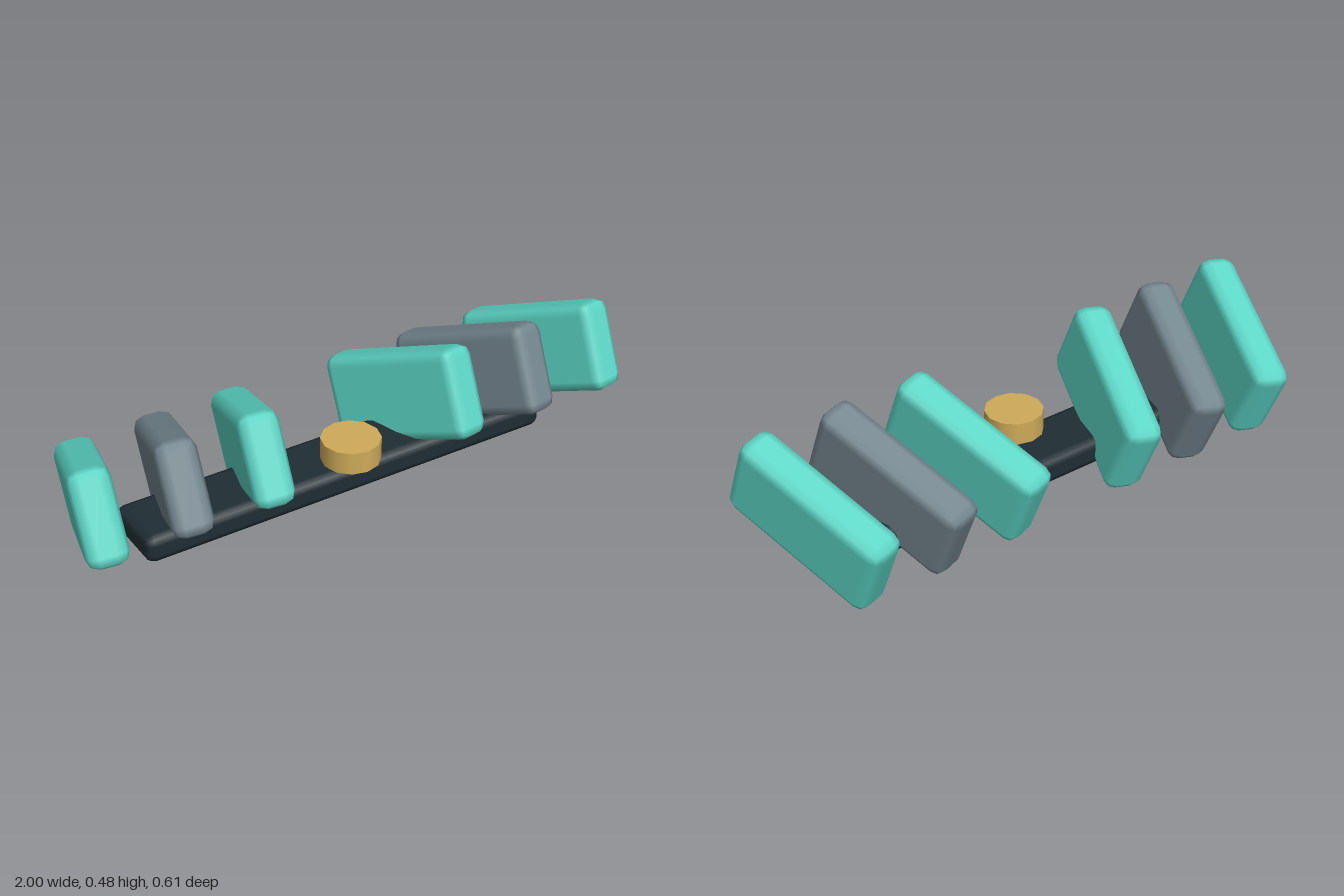
import * as THREE from 'three';
import { RoundedBoxGeometry } from 'three/addons/geometries/RoundedBoxGeometry.js';

const paint = (color) => new THREE.MeshStandardMaterial({ color });

export function createModel() {
  const model = new THREE.Group();
  model.name = 'slattedDevice';

  const teal = paint(0x5cd6c6);
  const slate = paint(0x74868f);

  const add = (name, geometry, material, x, y, z) => {
    const mesh = new THREE.Mesh(geometry, material);
    mesh.name = name;
    mesh.position.set(x, y, z);
    model.add(mesh);
    return mesh;
  };

  // long dark bar that carries the slabs
  add('baseBar', new RoundedBoxGeometry(1.515, 0.098, 0.235, 1, 0.03), paint(0x1f2d33), 0, 0.091, 0.045);

  // round knob at the middle front
  add('knob', new THREE.CylinderGeometry(0.1, 0.1, 0.078, 12), paint(0xcfab5a), 0, 0.201, 0.13);

  // three tilted slabs on each side, fanned outwards at the front
  const slab = new RoundedBoxGeometry(0.135, 0.309, 0.57, 1, 0.04);
  for (const side of [-1, 1]) {
    for (let i = 0; i < 3; i++) {
      const name = (side > 0 ? 'left' : 'right') + 'Slab' + (i + 1);
      const mesh = add(name, slab, i === 1 ? slate : teal, side * (0.295 + i * 0.285), 0.239, 0);
      mesh.rotation.set(-0.42, side * 0.295, 0);
    }
  }

  return model;
}
